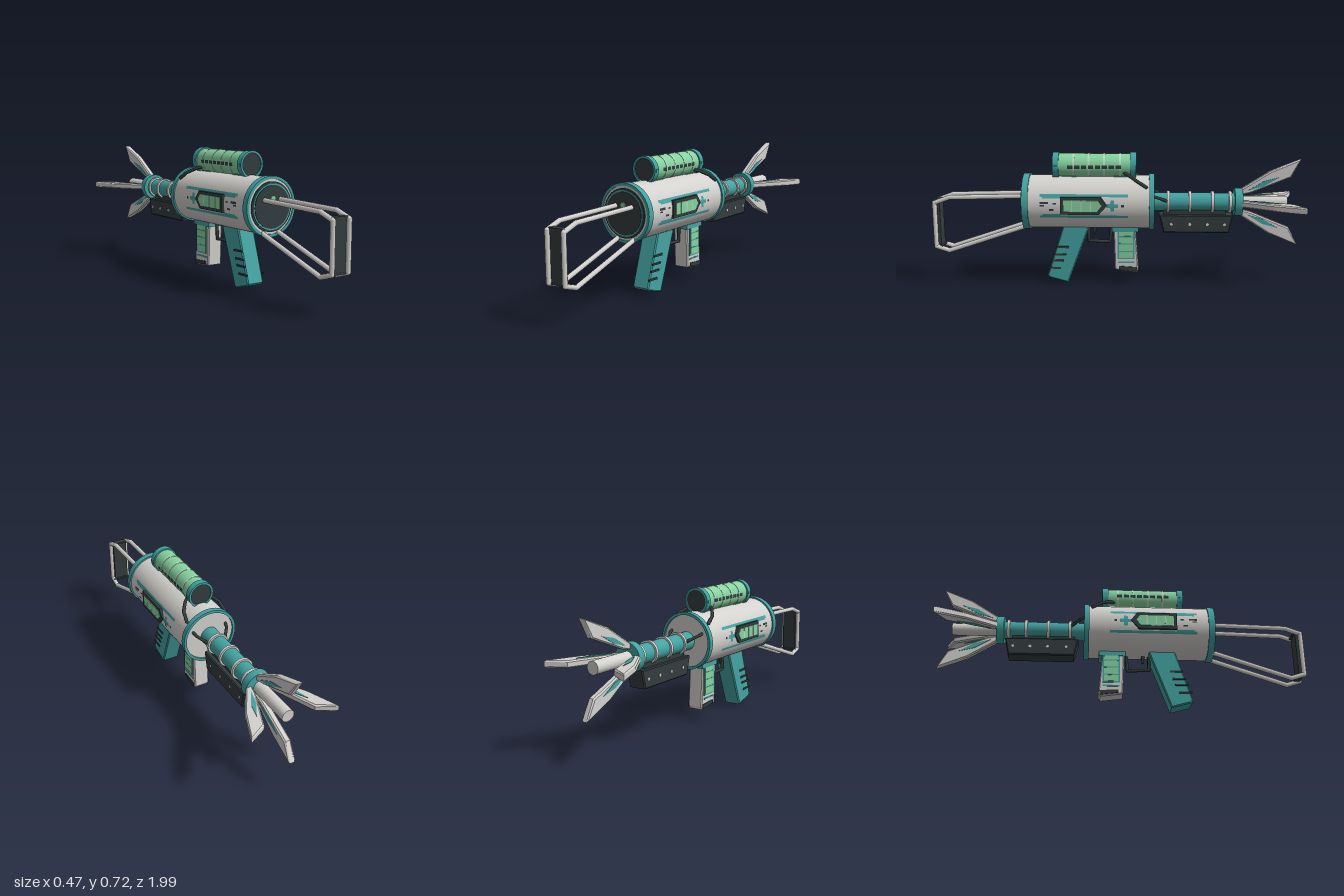
import * as THREE from 'three';

export function createModel() {
  const root = new THREE.Group();
  root.name = 'toyBlaster';
  const mat = (name, color) => {
    const m = new THREE.MeshStandardMaterial({ color, side: THREE.DoubleSide });
    m.name = name;
    return m;
  };
  const white = mat('shellWhite', 0xd4d2ce);
  const teal = mat('teal', 0x43a3a2);
  const dark = mat('charcoal', 0x343c3d);
  const green = mat('glowGreen', 0x86d3a0);
  const pale = mat('paleGreen', 0xb9dcc2);

  const AXIS = 0.456, SCOPE = 0.655;

  const add = (name, geo, m, parent = root) => {
    const mesh = new THREE.Mesh(geo, m);
    mesh.name = name;
    parent.add(mesh);
    return mesh;
  };
  // cylinder along z between z0 and z1
  const rod = (name, r, z0, z1, y, m, x = 0, seg = 40) =>
    add(name, new THREE.CylinderGeometry(r, r, Math.abs(z1 - z0), seg)
      .rotateX(Math.PI / 2).translate(x, y, (z0 + z1) / 2), m);
  const box = (name, x, y, z, w, h, d, m) =>
    add(name, new THREE.BoxGeometry(w, h, d).translate(x, y, z), m);
  // outline of [z, y] points, extruded along x and centred on x
  const slab = (name, pts, width, x, m, parent = root, bevel = 0) => {
    const shape = new THREE.Shape(pts.map(p => new THREE.Vector2(p[0], p[1])));
    const geo = new THREE.ExtrudeGeometry(shape, {
      depth: width - 2 * bevel, bevelEnabled: bevel > 0, bevelSize: bevel,
      bevelThickness: bevel, bevelOffset: -bevel, bevelSegments: 1,
    });
    geo.translate(0, 0, -(width - 2 * bevel) / 2).rotateY(-Math.PI / 2).translate(x, 0, 0);
    return add(name, geo, m, parent);
  };
  const rect = (z0, z1, y0, y1) => [[z0, y0], [z1, y0], [z1, y1], [z0, y1]];
  // straight-sided tube through points
  const tube = (name, pts, r, m, seg = 10) => {
    const path = new THREE.CurvePath();
    const v = pts.map(p => new THREE.Vector3(...p));
    for (let i = 1; i < v.length; i++) path.add(new THREE.LineCurve3(v[i - 1], v[i]));
    const g = new THREE.Group();
    g.name = name;
    path.curves.forEach(c => add(name + 'Segment', new THREE.TubeGeometry(c, 1, r, seg), m, g));
    v.forEach(p => add(name + 'Joint', new THREE.SphereGeometry(r, seg, 8).translate(p.x, p.y, p.z), m, g));
    root.add(g);
  };
  // thin curved patch on both sides of a z-axis cylinder; y is relative to its axis
  const patch = (name, r, cy, y0, y1, z0, z1, m) => {
    const a0 = Math.asin(y0 / r), a1 = Math.asin(y1 / r);
    for (const start of [Math.PI / 2 + a0, Math.PI * 1.5 - a1])
      add(name, new THREE.CylinderGeometry(r, r, Math.abs(z1 - z0), 4, 1, true, start, a1 - a0)
        .rotateX(Math.PI / 2).translate(0, cy, (z0 + z1) / 2), m);
  };

  // main body, end rims and layered front cap
  rod('body', 0.145, -0.2, 0.48, AXIS, white, 0, 64);
  const rim = (name, r0, r1, z0, z1, y) => add(name, new THREE.LatheGeometry(
    [[r0, z0], [r1, z0], [r1, z1], [r0, z1], [r0, z0]].flatMap((p, i, a) =>
      i < 4 ? [new THREE.Vector2(...p), new THREE.Vector2(...a[i + 1])] : []), 64)
    .rotateX(Math.PI / 2).translate(0, y, 0), teal);
  rim('frontRim', 0.138, 0.153, 0.463, 0.498, AXIS);
  rim('rearRim', 0.138, 0.153, -0.21, -0.182, AXIS);
  rod('frontWhiteRing', 0.14, 0.47, 0.494, AXIS, white, 0, 64);
  rod('frontDarkRing', 0.126, 0.47, 0.5, AXIS, dark, 0, 64);
  rod('frontTealRing', 0.117, 0.47, 0.503, AXIS, teal, 0, 64);
  rod('frontDisc', 0.109, 0.47, 0.506, AXIS, dark, 0, 64);
  rod('frontLamp', 0.014, 0.5, 0.511, 0.498, green, 0, 20);

  // side markings on the body
  for (const s of [1, -1]) {
    const y0 = s > 0 ? 0.05 : -0.064;
    patch('sideBar', 0.1475, AXIS, y0, y0 + 0.014, -0.07, 0.4, teal);
    patch('sideBarEnd', 0.1475, AXIS, s > 0 ? 0.042 : -0.052, s > 0 ? 0.052 : -0.042, 0.29, 0.385, teal);
  }
  patch('crossMark', 0.1475, AXIS, -0.006, 0.014, -0.018, 0.046, teal);
  patch('crossMark', 0.148, AXIS, -0.026, 0.034, 0.004, 0.024, teal);
  patch('dotMark', 0.1475, AXIS, -0.002, 0.01, -0.048, -0.034, dark);
  patch('tickMark', 0.1475, AXIS, 0.012, 0.024, 0.355, 0.4, dark);
  patch('tickMark', 0.1475, AXIS, 0, 0.008, 0.375, 0.4, dark);
  patch('tickMark', 0.1475, AXIS, -0.024, -0.014, 0.325, 0.35, dark);
  patch('tickMark', 0.1475, AXIS, 0.012, 0.02, 0.31, 0.33, dark);

  // pointed display windows
  for (const s of [1, -1]) {
    slab('windowFrame', [[0.29, 0.413], [0.085, 0.413], [0.042, 0.462], [0.075, 0.507], [0.29, 0.507]], 0.026, s * 0.14, dark);
    slab('windowGlass', [[0.272, 0.43], [0.095, 0.43], [0.07, 0.462], [0.09, 0.49], [0.272, 0.49]], 0.006, s * 0.153, green);
    for (const z of [0.225, 0.175, 0.125])
      slab('windowLine', rect(z, z + 0.006, 0.43, 0.49), 0.002, s * 0.1565, pale);
  }

  // scope with end rims, bands and vents
  rod('scopeTube', 0.064, -0.1, 0.325, SCOPE, green, 0, 48);
  for (const [z0, z1, d0, d1] of [[0.305, 0.338, 0.3, 0.332], [-0.112, -0.078, -0.106, -0.07]]) {
    rim('scopeRim', 0.059, 0.071, z0, z1, SCOPE);
    rod('scopeLens', 0.06, d0, d1, SCOPE, dark, 0, 48);
    for (const s of [1, -1]) box('scopeRimTab', s * 0.07, SCOPE, (z0 + z1) / 2, 0.008, 0.014, 0.018, teal);
  }
  for (const z of [0.225, 0.143, 0.06, -0.025]) rod('scopeBand', 0.0655, z - 0.005, z + 0.005, SCOPE, pale, 0, 48);
  for (let i = 0; i < 8; i++) {
    const z = -0.03 + i * 0.037;
    patch('scopeVent', 0.0665, SCOPE, -0.01, 0.008, z, z + 0.028, dark);
  }
  for (const z of [0.25, -0.03]) box('scopeMount', 0, 0.597, z, 0.07, 0.03, 0.08, teal);

  // cables
  for (const s of [1, -1]) {
    tube('scopeCable', [[s * 0.05, 0.62, -0.05], [s * 0.072, 0.612, -0.07], [s * 0.106, 0.587, -0.115], [s * 0.114, 0.555, -0.165]], 0.009, dark, 8);
    tube('barrelCable', [[s * 0.098, 0.505, -0.19], [s * 0.09, 0.495, -0.225], [s * 0.045, 0.465, -0.285]], 0.008, dark, 8);
  }

  // barrel
  rod('barrel', 0.049, -0.66, -0.19, AXIS, teal);
  for (const z of [-0.287, -0.405, -0.527, -0.622]) rod('barrelRing', 0.059, z - 0.008, z + 0.008, AXIS, white);
  rod('barrelCollar', 0.075, -0.687, -0.645, AXIS, teal);
  rod('muzzleTube', 0.033, -0.93, -0.68, AXIS, white, 0, 24);

  // four flared muzzle fins with inlays
  for (let i = 0; i < 4; i++) {
    const fin = new THREE.Group();
    fin.name = 'muzzleFin';
    fin.position.y = AXIS;
    fin.rotation.z = i * Math.PI / 2;
    slab('finBlade', [[-0.68, 0.04], [-0.735, 0.052], [-0.945, 0.138], [-0.995, 0.236], [-0.835, 0.172], [-0.68, 0.073]], 0.036, 0, white, fin, 0.007);
    for (const s of [1, -1])
      slab('finInlay', [[-0.715, 0.066], [-0.8, 0.09], [-0.885, 0.14], [-0.8, 0.118]], 0.004, s * 0.0185, teal, fin);
    root.add(fin);
  }

  // under-barrel block with studs
  slab('underBlock', [[-0.238, 0.39], [-0.637, 0.39], [-0.617, 0.292], [-0.262, 0.292]], 0.098, 0, dark, root, 0.006);
  box('underBlockRail', 0, 0.4, -0.43, 0.05, 0.04, 0.34, dark);
  for (const z of [-0.305, -0.405, -0.5, -0.592])
    for (const s of [1, -1])
      add('blockStud', new THREE.CylinderGeometry(0.008, 0.008, 0.004, 10).rotateZ(Math.PI / 2).translate(s * 0.05, 0.34, z), white);

  // wire stock and shoulder plate
  for (const s of [1, -1])
    tube('stockWire', [[s * 0.05, 0.492, 0.49], [s * 0.05, 0.482, 0.905], [s * 0.05, 0.452, 0.987],
      [s * 0.05, 0.207, 0.987], [s * 0.05, 0.184, 0.915], [s * 0.05, 0.325, 0.49]], 0.0128, white);
  box('shoulderPlate', 0, 0.333, 0.972, 0.085, 0.262, 0.022, dark);
  for (const y of [0.206, 0.461]) box('shoulderPlateLip', 0, y, 0.968, 0.112, 0.01, 0.034, dark);

  // grip with grooves
  slab('grip', [[0.275, 0.36], [0.13, 0.36], [0.146, 0.31], [0.26, 0.003], [0.365, 0.032], [0.376, 0.045]], 0.1, 0, teal, root, 0.006);
  [[0.255, 0.207], [0.268, 0.165], [0.282, 0.13], [0.3, 0.088]].forEach(([z, y]) => {
    for (const s of [1, -1])
      slab('gripGroove', [[z, y - 0.006], [z + 0.072, y - 0.003], [z + 0.072, y + 0.006], [z, y + 0.005]], 0.007, s * 0.0515, dark);
  });

  // trigger and guard
  tube('triggerGuard', [[0, 0.32, 0.148], [0, 0.233, 0.146], [0, 0.228, 0.03], [0, 0.32, 0.022]], 0.009, dark, 8);
  slab('trigger', [[0.105, 0.32], [0.125, 0.32], [0.118, 0.275], [0.108, 0.272]], 0.018, 0, dark);

  // magazine with green cells
  slab('magazine', [[0.012, 0.34], [-0.108, 0.34], [-0.128, 0.08], [-0.118, 0.062], [0.003, 0.078]], 0.088, 0, white, root, 0.006);
  box('magazineCollar', 0, 0.308, -0.055, 0.1, 0.026, 0.145, teal);
  for (const s of [1, -1]) {
    slab('cellFrame', rect(-0.106, -0.012, 0.14, 0.3), 0.006, s * 0.045, teal);
    slab('cellWindow', rect(-0.098, -0.02, 0.148, 0.295), 0.005, s * 0.047, green);
    for (const y of [0.182, 0.225, 0.265]) slab('cellBar', rect(-0.098, -0.02, y, y + 0.006), 0.004, s * 0.0485, teal);
    slab('magazineStripe', rect(-0.105, -0.015, 0.118, 0.126), 0.004, s * 0.045, teal);
    slab('magazineClip', [[-0.118, 0.07], [-0.02, 0.082], [-0.02, 0.1], [-0.12, 0.094]], 0.007, s * 0.045, dark);
  }
  return root;
}
